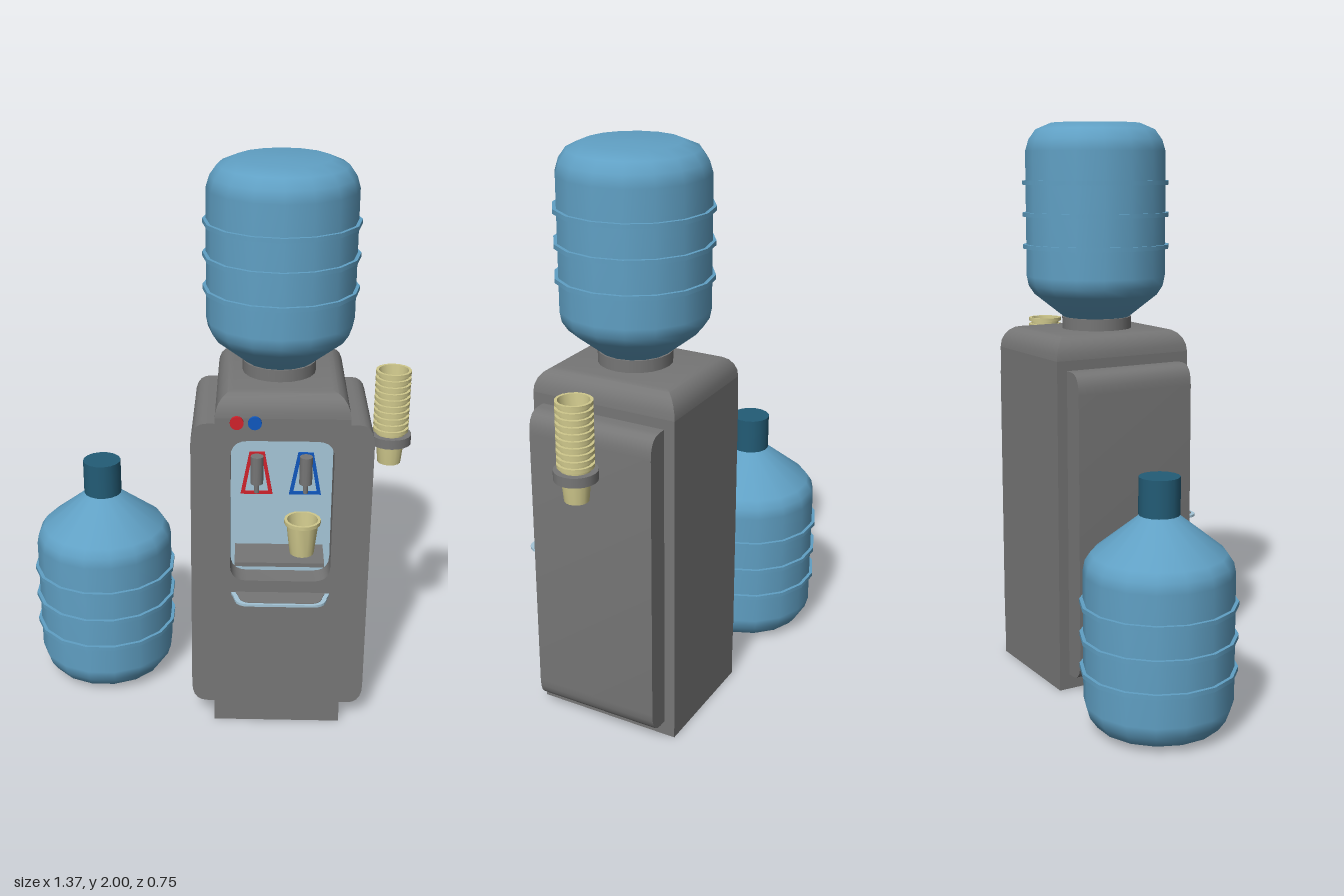
import * as THREE from 'three';
import { toCreasedNormals } from 'three/addons/utils/BufferGeometryUtils.js';

const mat = (name, color, side = THREE.FrontSide) => {
  const m = new THREE.MeshStandardMaterial({ color, side });
  m.name = name;
  return m;
};

export function createModel() {
  const root = new THREE.Group();
  root.name = 'waterDispenserSet';
  const gray = mat('casing gray', 0x767676);
  const water = mat('bottle blue', 0x60a0c4);
  const teal = mat('cap teal', 0x235c76);
  const pale = mat('pale blue panel', 0xa5c6d8);
  const cream = mat('cup cream', 0xcfc88c, THREE.DoubleSide);
  const red = mat('hot red', 0xd2222c);
  const blue = mat('cold blue', 0x1058c0);

  const add = (name, geo, material, x = 0, y = 0, z = 0, parent = root) => {
    const m = new THREE.Mesh(geo, material);
    m.name = name;
    m.position.set(x, y, z);
    parent.add(m);
    return m;
  };
  const box = (w, h, d) => new THREE.BoxGeometry(w, h, d);
  const cyl = (r, h, n = 16) => new THREE.CylinderGeometry(r, r, h, n);
  const lathe = (pts, n = 16) => new THREE.LatheGeometry(pts.map(p => new THREE.Vector2(...p)), n);
  const extrude = (shape, depth) =>
    new THREE.ExtrudeGeometry(shape, { depth, bevelEnabled: false, curveSegments: 5 });
  const polygon = (pts, Type = THREE.Shape) => new Type(pts.map(p => new THREE.Vector2(...p)));
  const roundRect = (Type, x0, y0, x1, y1, r) => {
    const s = new Type();
    s.moveTo(x0 + r, y0);
    s.lineTo(x1 - r, y0); s.quadraticCurveTo(x1, y0, x1, y0 + r);
    s.lineTo(x1, y1 - r); s.quadraticCurveTo(x1, y1, x1 - r, y1);
    s.lineTo(x0 + r, y1); s.quadraticCurveTo(x0, y1, x0, y1 - r);
    s.lineTo(x0, y0 + r); s.quadraticCurveTo(x0, y0, x0 + r, y0);
    return s;
  };

  // Casing: solid rear block, front block with the niche cut through it, domed top
  const W = 0.45, CX = 0.225, FRONT = 0.267, BACK = -0.263, NICHE = 0.185, SHOULDER = 1.19;
  add('casingRear', box(W, SHOULDER, NICHE - BACK), gray, CX, SHOULDER / 2, (NICHE + BACK) / 2);
  const face = polygon([[0, 0], [W, 0], [W, SHOULDER], [0, SHOULDER]]);
  face.holes.push(roundRect(THREE.Path, 0.053, 0.58, 0.4, 1.11, 0.06));
  add('casingFront', toCreasedNormals(extrude(face, FRONT - NICHE), 0.6), gray, 0, 0, NICHE);
  add('nichePanel', extrude(roundRect(THREE.Shape, 0.053, 0.58, 0.4, 1.11, 0.06), 0.004), pale, 0, 0, NICHE);

  const domeH = 0.08, depth = FRONT - BACK;
  const dome = new THREE.BoxGeometry(W, domeH, depth, 1, 5, 1);
  const p = dome.attributes.position;
  for (let i = 0; i < p.count; i++) {
    const a = (p.getY(i) / domeH + 0.5) * Math.PI / 2;
    const inset = 0.06 * (1 - Math.cos(a));
    p.setXYZ(i, p.getX(i) - Math.sign(p.getX(i)) * inset, domeH * Math.sin(a),
      p.getZ(i) - Math.sign(p.getZ(i)) * inset);
  }
  add('casingTop', toCreasedNormals(dome, 0.5), gray, CX, SHOULDER, (FRONT + BACK) / 2);
  add('bottleCollar', cyl(0.126, 0.06, 20), gray, 0.215, 1.282, 0.013);

  // Side panels with rounded outer edges
  for (const [name, side] of [['leftPanel', 1], ['rightPanel', -1]]) {
    const x0 = side > 0 ? 0.43 : -0.083, x1 = side > 0 ? 0.535 : 0.02;
    const s = new THREE.Shape();
    const r = 0.055, lo = 0.055, hi = 1.155;
    if (side > 0) {
      s.moveTo(x0, lo); s.lineTo(x1 - r, lo); s.quadraticCurveTo(x1, lo, x1, lo + 0.075);
      s.lineTo(x1, hi - 0.075); s.quadraticCurveTo(x1, hi, x1 - r, hi); s.lineTo(x0, hi);
    } else {
      s.moveTo(x1, lo); s.lineTo(x1, hi); s.lineTo(x0 + r, hi);
      s.quadraticCurveTo(x0, hi, x0, hi - 0.075);
      s.lineTo(x0, lo + 0.075); s.quadraticCurveTo(x0, lo, x0 + r, lo);
    }
    add(name, toCreasedNormals(extrude(s, 0.455), 0.6), gray, 0, 0, -0.225);
  }

  // Taps with their coloured frames, and the two indicator buttons
  [['hot', red, 0.142, 0.073], ['cold', blue, 0.308, 0.133]].forEach(([name, m, x, bx]) => {
    const frame = polygon([[-0.055, 0.88], [0.055, 0.88], [0.026, 1.037], [-0.026, 1.037]]);
    frame.holes.push(polygon([[-0.04, 0.891], [0.04, 0.891], [0.016, 1.026], [-0.016, 1.026]], THREE.Path));
    add(name + 'Frame', extrude(frame, 0.006), m, x, 0, NICHE + 0.003);
    add(name + 'Tap', cyl(0.022, 0.1, 12), gray, x, 0.985, 0.222);
    add(name + 'TapStem', box(0.024, 0.03, 0.04), gray, x, 0.975, 0.205);
    add(name + 'Spout', cyl(0.009, 0.04, 10), gray, x, 0.92, 0.222);
    add(name + 'Button', cyl(0.023, 0.02, 16), m, bx, 1.176, FRONT).rotation.x = Math.PI / 2;
  });

  // Cup shelf and floating drip tray with a pale rim
  add('cupShelf', box(0.305, 0.015, 0.14), gray, 0.222, 0.677, 0.256);
  const trayShape = (x0, x1, z0, z1, r) => {
    const s = new THREE.Shape();
    s.moveTo(x0, -z0); s.lineTo(x0 + 0.01, r - z1);
    s.quadraticCurveTo(x0 + 0.015, -z1, x0 + 0.01 + r, -z1);
    s.lineTo(x1 - 0.01 - r, -z1);
    s.quadraticCurveTo(x1 - 0.015, -z1, x1 - 0.01, r - z1); s.lineTo(x1, -z0);
    return s;
  };
  add('dripTrayRim', extrude(trayShape(0.058, 0.398, 0.293, 0.375, 0.05), 0.009), pale, 0, 0.54, 0)
    .rotation.x = -Math.PI / 2;
  add('dripTrayTop', extrude(trayShape(0.073, 0.383, 0.294, 0.366, 0.045), 0.003), gray, 0, 0.548, 0)
    .rotation.x = -Math.PI / 2;

  // Water bottles: one upside down on the dispenser, one standing with its cap
  const bottleProfile = [[0, 0], [0.16, 0.002], [0.215, 0.025], [0.24, 0.06], [0.252, 0.1],
    [0.252, 0.54], [0.245, 0.575], [0.225, 0.605], [0.06, 0.735], [0, 0.735]];
  const bottle = name => {
    const g = new THREE.Group();
    g.name = name;
    add('bottleBody', lathe(bottleProfile), water, 0, 0, 0, g);
    for (const y of [0.21, 0.322, 0.435]) {
      add('bottleRib', cyl(0.264, 0.015), water, 0, y, 0, g);
    }
    root.add(g);
    return g;
  };
  const upper = bottle('upperBottle');
  upper.position.set(0.215, 2, 0.013);
  upper.rotation.x = Math.PI;
  const spare = bottle('spareBottle');
  spare.position.set(-0.427, 0, -0.116);
  spare.rotation.y = Math.PI / 16;
  add('bottleCap', cyl(0.069, 0.127), teal, 0, 0.797, 0, spare);

  // Single cup on the shelf
  const cup = [[0, 0], [0.042, 0], [0.055, 0.112], [0.063, 0.114], [0.063, 0.127],
    [0.053, 0.127], [0.039, 0.008], [0, 0.008]];
  add('cup', toCreasedNormals(lathe(cup), 0.6), cream, 0.3, 0.685, 0.247);

  // Stack of nested cups held by a ring on the left panel
  const stack = [[0, 0.925], [0.041, 0.925], [0.052, 1.035]];
  for (let i = 0; i < 10; i++) {
    const y = 1.045 + i * 0.0235;
    stack.push([0.052, y], [0.062, y], [0.062, y + 0.013], [0.052, y + 0.013]);
  }
  stack.push([0.04, 1.165], [0, 1.165]);
  add('cupStack', toCreasedNormals(lathe(stack), 0.6), cream, 0.61, 0, 0.004);
  add('cupHolderRing', cyl(0.073, 0.034, 20), gray, 0.61, 1.017, 0.004);

  return root;
}
